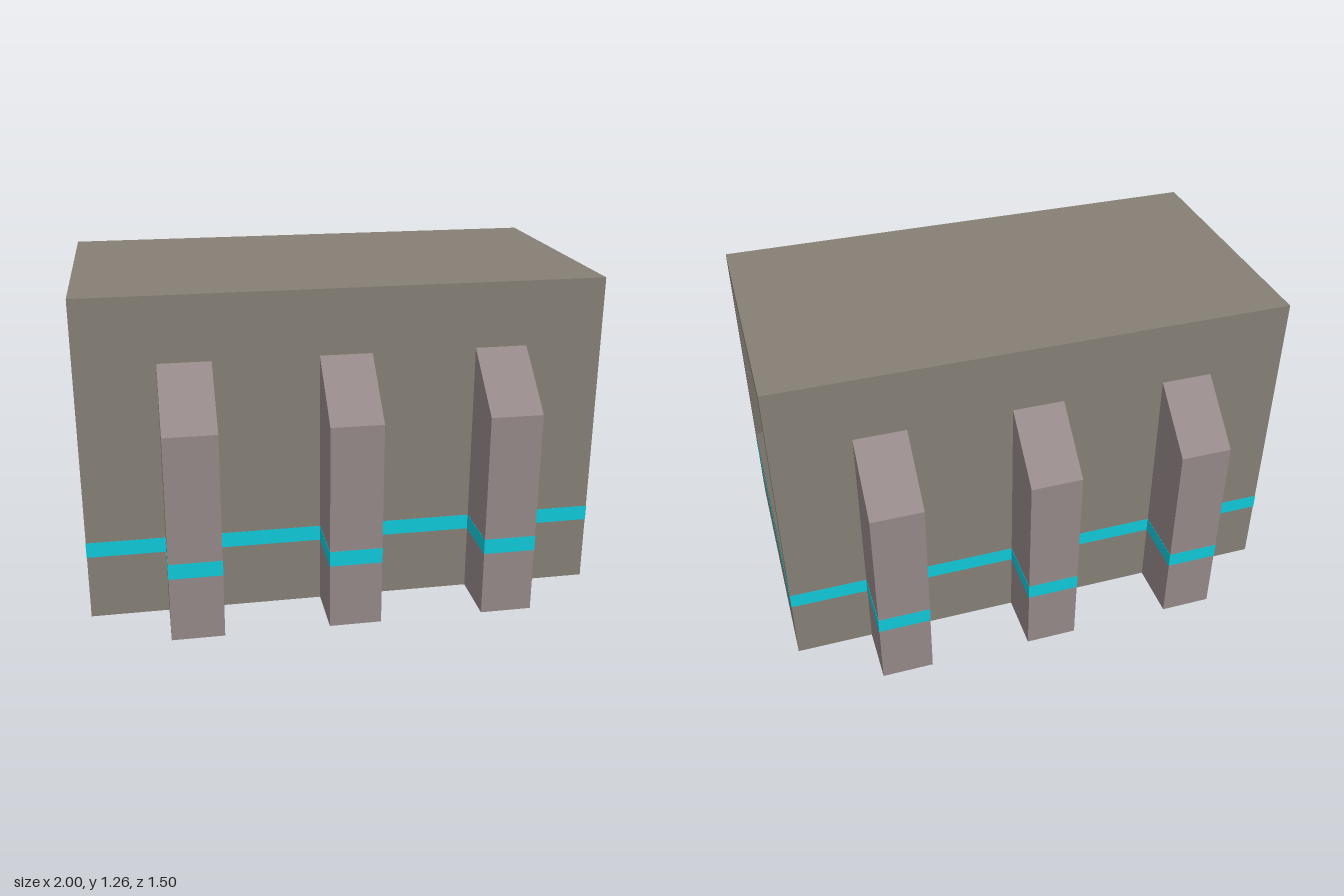
import * as THREE from 'three';

const H = 1.265, D = 0.5225, REACH = 0.748, RIB_W = 0.2;
const BAND_Y = 0.285, BAND_H = 0.06, SKIN = 0.001;

const mat = (color) => new THREE.MeshStandardMaterial({ color, flatShading: true });

// Rectangular section at x, counter-clockwise as seen from +x
const rect = (x, halfZ, y0, y1) => [
  [x, y0, halfZ], [x, y0, -halfZ], [x, y1, -halfZ], [x, y1, halfZ],
];

// Flat-sided skin through a row of four-cornered sections
function loft(sections) {
  const pos = [];
  for (let i = 0; i < sections.length - 1; i++) {
    for (let j = 0; j < 4; j++) {
      const k = (j + 1) % 4;
      const [a, b] = [sections[i][j], sections[i][k]];
      const [d, c] = [sections[i + 1][j], sections[i + 1][k]];
      pos.push(...a, ...b, ...c, ...a, ...c, ...d);
    }
  }
  const geo = new THREE.BufferGeometry();
  geo.setAttribute('position', new THREE.Float32BufferAttribute(pos, 3));
  geo.computeVertexNormals();
  return geo;
}

export function createModel() {
  const group = new THREE.Group();
  const bodyMat = mat(0x857f75), ribMat = mat(0x958888), bandMat = mat(0x10c8d8);

  const add = (name, geo, material, parent = group) => {
    const mesh = new THREE.Mesh(geo, material);
    mesh.name = name;
    parent.add(mesh);
    return mesh;
  };

  // Block whose ends fold inward into bevelled recesses
  add('body', loft([
    rect(-0.94, 0.4, 0.44, 1.14),
    rect(-1, 0.46, 0.38, 1.2),
    rect(-1, D, 0, H),
    rect(1, D, 0, H),
    rect(1, 0.46, 0.38, 1.2),
    rect(0.94, 0.4, 0.44, 1.14),
  ]), bodyMat);

  // Panels at the bottom of the recesses
  for (const side of [-1, 1]) {
    const panel = add(side > 0 ? 'leftPanel' : 'rightPanel', new THREE.PlaneGeometry(0.8, 0.7), ribMat);
    panel.rotation.y = side * Math.PI / 2;
    panel.position.set(side * 0.94, 0.79, 0);
  }

  // Band around the block
  add('bodyBand', new THREE.BoxGeometry(2 + SKIN * 2, BAND_H, (D + SKIN) * 2), bandMat)
    .position.y = BAND_Y;

  // Buttress profile in z and y, extruded along x
  const profile = new THREE.Shape([
    [D, 0], [REACH, 0], [REACH, 0.81], [D, 1.012],
  ].map(([z, y]) => new THREE.Vector2(z, y)));
  const ribGeo = new THREE.ExtrudeGeometry(profile, { depth: RIB_W, bevelEnabled: false });
  ribGeo.translate(0, 0, -RIB_W / 2).rotateY(-Math.PI / 2);
  const ribBandGeo = new THREE.BoxGeometry(RIB_W + SKIN * 2, BAND_H, REACH - D + SKIN);

  // Three buttresses on the front, turned round for the back
  for (const name of ['front', 'back']) {
    const row = new THREE.Group();
    row.name = name + 'Buttresses';
    if (name === 'back') row.rotation.y = Math.PI;
    for (const x of [-0.6, 0, 0.6]) {
      add('buttress', ribGeo, ribMat, row).position.x = x;
      add('buttressBand', ribBandGeo, bandMat, row)
        .position.set(x, BAND_Y, (D + REACH + SKIN) / 2);
    }
    group.add(row);
  }
  return group;
}
